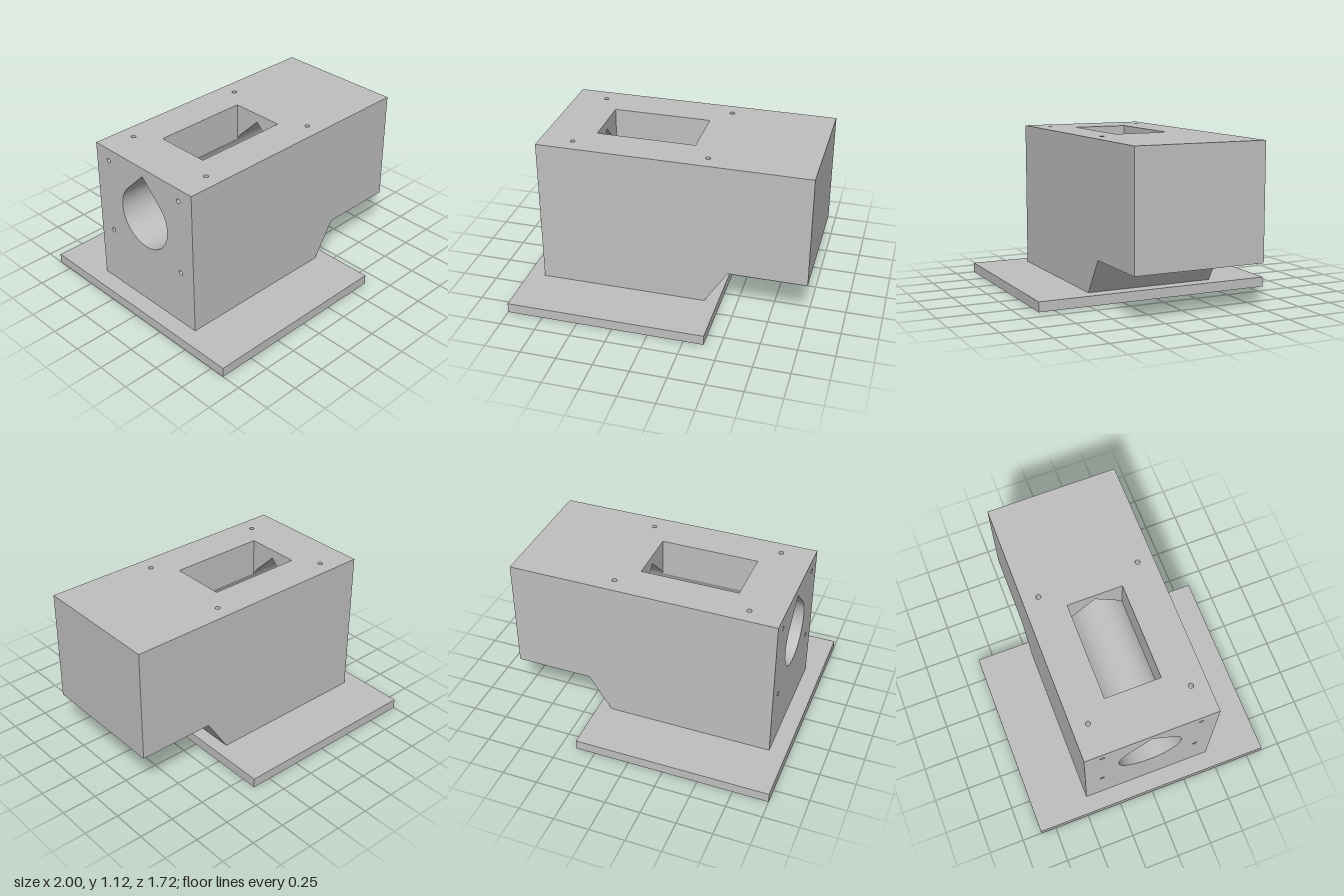
import * as THREE from 'three';
import { ParametricGeometry } from 'three/addons/geometries/ParametricGeometry.js';

const TOP = 1.12, BASE = 0.07, LEDGE = 0.32, LEFT = -0.88, RIGHT = 1, HALF = 0.467;
const R = 0.225, CY = 0.74, PEAK = CY + R * Math.SQRT2; // teardrop bore
const S = 0.197, A = Math.acos(S / R); // half width of slot and chute, angle where they meet the bore
const SLOT = [-0.535, 0.155], INNER = 0.94, CHUTE = 0.74, Q = Math.PI / 4;
const lerp = THREE.MathUtils.lerp;
const v2 = (x, y) => new THREE.Vector2(x, y);
const borePoint = (t) => v2(R * Math.cos(t), CY + R * Math.sin(t));
const slopeX = (y) => CHUTE - (y - LEDGE) * 0.62;

function arc(a, b, n) {
  return Array.from({ length: n + 1 }, (_, i) => borePoint(lerp(a, b, i / n)));
}
// Pointed upper edge of the bore from +z to -z
const roofEdge = () => [...arc(A, Q, 6), v2(0, PEAK), ...arc(3 * Q, Math.PI - A, 6)];
const rect = (x0, x1, y0, y1) => [v2(x0, y0), v2(x1, y0), v2(x1, y1), v2(x0, y1)];
const circle = (x, y, r) => new THREE.Path().absarc(x, y, r, 0, Math.PI * 2).getPoints(8);

export function createModel() {
  const group = new THREE.Group();
  const grey = new THREE.MeshStandardMaterial({ color: 0xc0c0c0, side: THREE.DoubleSide });
  grey.name = 'light grey';

  function add(name, geometry) {
    const mesh = new THREE.Mesh(geometry, grey);
    mesh.name = name;
    group.add(mesh);
    return mesh;
  }
  function panel(points, holes = []) {
    const shape = new THREE.Shape(points);
    holes.forEach((h) => shape.holes.push(new THREE.Path(h)));
    return new THREE.ShapeGeometry(shape);
  }
  // Surface running along x from x0 to x1(y), following a curve in (z, y)
  function strip(name, curve, x0, x1, n = 16) {
    const end = typeof x1 === 'function' ? x1 : () => x1;
    add(name, new ParametricGeometry((u, v, p) => {
      const c = curve(u);
      p.set(lerp(x0, end(c.y), v), c.y, c.x);
    }, n, 1));
  }

  // Base plate
  const plate = add('basePlate', new THREE.BoxGeometry(1.39, BASE, 1.72));
  plate.position.set(-0.305, BASE / 2, 0);

  // Housing sides
  const profile = [v2(LEFT, BASE), v2(0.295, BASE), v2(0.455, LEDGE), v2(RIGHT, LEDGE), v2(RIGHT, TOP), v2(LEFT, TOP)];
  add('frontSide', panel(profile).translate(0, 0, HALF));
  add('backSide', panel(profile.map((p) => v2(-p.x, p.y))).rotateY(Math.PI).translate(0, 0, -HALF));

  // Screw positions on the top (x, z) and on the open end (z, y)
  const topScrews = [], endScrews = [];
  for (const z of [-0.355, 0.355]) {
    for (const x of [-0.655, 0.28]) topScrews.push(v2(x, z));
    for (const y of [0.48, 1.03]) endScrews.push(v2(z * 0.97, y));
  }
  const screwPaths = (list) => list.map((p) => circle(p.x, p.y, 0.017));

  // Top with the feed slot, underside with the chute mouth
  add('topFace', panel(rect(LEFT, RIGHT, -HALF, HALF), [rect(...SLOT, -S, S), ...screwPaths(topScrews)])
    .rotateX(-Math.PI / 2).translate(0, TOP, 0));
  add('overhangUnderside', panel(rect(0.455, RIGHT, -HALF, HALF), [rect(CHUTE, INNER, -S, S)])
    .rotateX(Math.PI / 2).translate(0, LEDGE, 0));

  // Slanted face under the overhang
  const length = Math.hypot(0.16, 0.25);
  const slant = add('slantedFace', new THREE.PlaneGeometry(HALF * 2, length)
    .rotateY(Math.PI / 2).rotateZ(-Math.atan2(0.16, 0.25)));
  slant.position.set(0.375, (BASE + LEDGE) / 2, 0);

  // End faces, one pierced by the bore
  const teardrop = [...arc(Q - Math.PI * 1.5, Q, 48), v2(0, PEAK)];
  add('openEndFace', panel(rect(-HALF, HALF, BASE, TOP), [teardrop, ...screwPaths(endScrews)])
    .rotateY(-Math.PI / 2).translate(LEFT, 0, 0));
  add('closedEndFace', panel(rect(-HALF, HALF, LEDGE, TOP)).rotateY(Math.PI / 2).translate(RIGHT, 0, 0));

  // Bore floor, cut off where the chute drops away
  strip('boreFloor', (u) => borePoint(lerp(A - Math.PI, -A, u)), LEFT, slopeX, 40);

  // Bore sides, pointed roof, and straight slot and chute walls
  for (const m of [1, -1]) {
    const flip = (p) => v2(p.x * m, p.y);
    strip('boreSide', (u) => flip(borePoint(lerp(-A, A, u))), LEFT, INNER);
    for (const [x0, x1] of [[LEFT, SLOT[0]], [SLOT[1], INNER]]) {
      strip('boreShoulder', (u) => flip(borePoint(lerp(A, Q, u))), x0, x1, 6);
      strip('boreRoof', (u) => flip(borePoint(Q).lerp(v2(0, PEAK), u)), x0, x1, 1);
    }
    const meetHigh = borePoint(A).y, meetLow = borePoint(-A).y;
    strip('slotSideWall', (u) => v2(S * m, lerp(meetHigh, TOP, u)), SLOT[0], SLOT[1], 1);
    add('chuteSideWall', panel([v2(CHUTE, LEDGE), v2(INNER, LEDGE), v2(INNER, meetLow), v2(slopeX(meetLow), meetLow)])
      .translate(0, 0, S * m));
  }

  // Slot end walls around the bore roof
  for (const x of SLOT) {
    add('slotEndWall', panel([v2(S, TOP), ...roofEdge(), v2(-S, TOP)])
      .rotateY(-Math.PI / 2).translate(x, 0, 0));
  }

  // Sloping chute wall and closed inner end
  add('chuteSlope', new ParametricGeometry((u, v, p) => {
    const c = borePoint(lerp(A - Math.PI, -A, u));
    const y = lerp(LEDGE, c.y, v);
    p.set(slopeX(y), y, c.x);
  }, 32, 1));
  add('boreEndWall', panel([v2(-S, LEDGE), v2(S, LEDGE), ...arc(-A, A, 12), ...roofEdge().slice(1),
    ...arc(Math.PI - A, Math.PI + A, 12).slice(1)]).rotateY(-Math.PI / 2).translate(INNER, 0, 0));

  // Blind screw holes
  const depth = 0.15;
  const bore = () => new THREE.CylinderGeometry(0.017, 0.017, depth, 16, 1, true);
  for (const p of topScrews) add('topScrewHole', bore()).position.set(p.x, TOP - depth / 2, p.y);
  for (const p of endScrews) {
    add('endScrewHole', bore().rotateZ(Math.PI / 2)).position.set(LEFT + depth / 2, p.y, p.x);
  }
  for (const p of topScrews) {
    add('topScrewFloor', new THREE.CircleGeometry(0.017, 16).rotateX(-Math.PI / 2)).position.set(p.x, TOP - depth, p.y);
  }
  for (const p of endScrews) {
    add('endScrewFloor', new THREE.CircleGeometry(0.017, 16).rotateY(-Math.PI / 2)).position.set(LEFT + depth, p.y, p.x);
  }
  return group;
}
